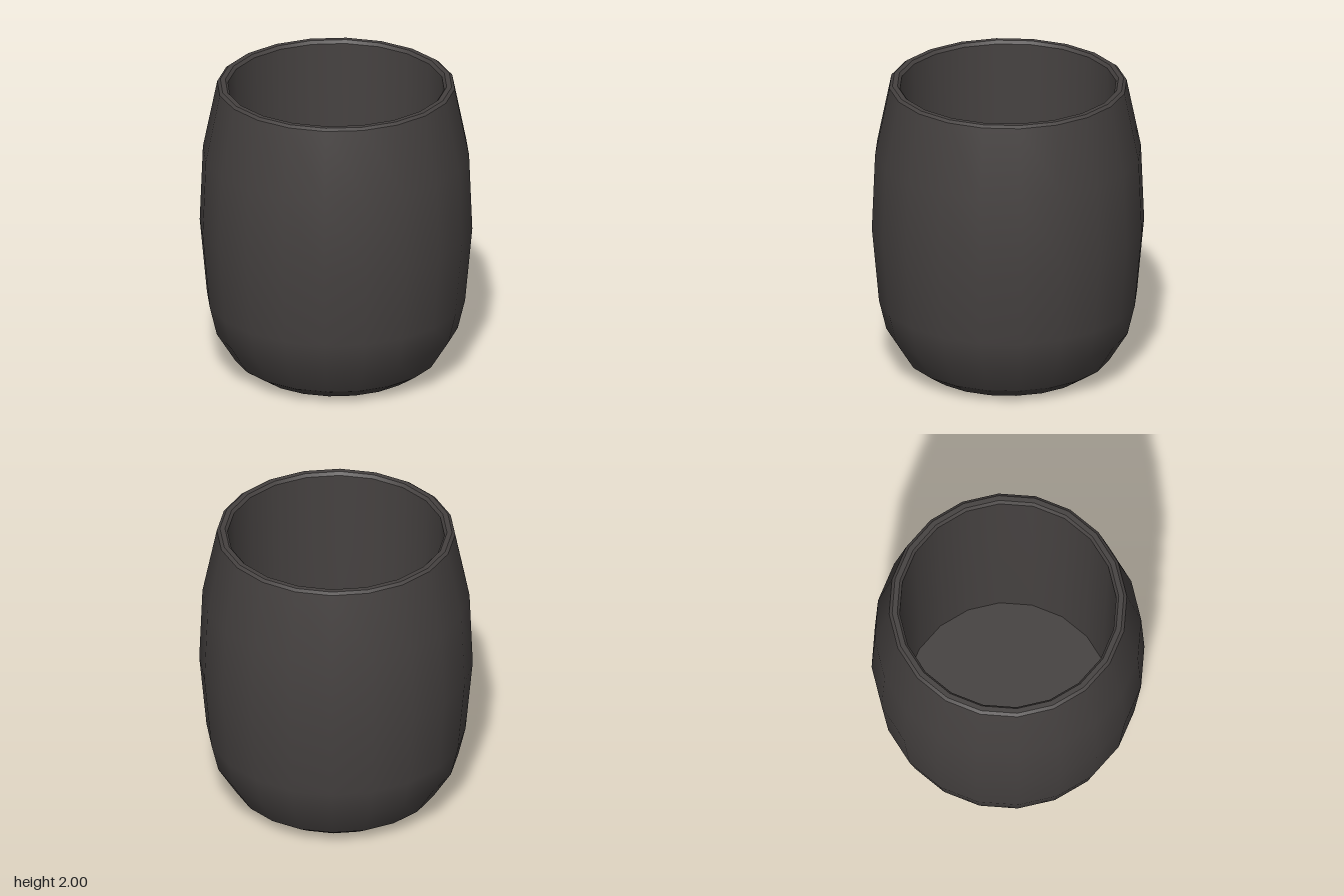
import * as THREE from 'three';

const SIDES = 20;

export function createModel() {
  const group = new THREE.Group();
  group.name = 'tumbler';
  const charcoal = new THREE.MeshStandardMaterial({ color: 0x454140 });
  charcoal.name = 'charcoal';

  // Each section is smooth in itself; the seams between sections stay sharp.
  // Profiles run from the base centre, up the outside and down the inside.
  const sections = {
    base: [[0, 0], [0.15, 0], [0.16, 0.004], [0.548, 0.005], [0.675, 0.09]],
    outerWall: [[0.675, 0.09], [0.8, 0.29], [0.848, 0.49], [0.895, 1], [0.874, 1.52], [0.78, 1.985]],
    outerBevel: [[0.78, 1.985], [0.76, 2]],
    rim: [[0.76, 2], [0.727, 2]],
    innerBevel: [[0.727, 2], [0.71, 1.98]],
    // Nearly straight inside wall, narrowing slightly towards the floor
    innerWall: [[0.71, 1.98], [0.695, 1.4], [0.683, 0.8], [0.68, 0.17]],
    floor: [[0.68, 0.17], [0, 0.17]],
  };

  for (const [name, profile] of Object.entries(sections)) {
    const points = profile.map(([r, y]) => new THREE.Vector2(r, y));
    const mesh = new THREE.Mesh(new THREE.LatheGeometry(points, SIDES), charcoal);
    mesh.name = name;
    group.add(mesh);
  }
  return group;
}
